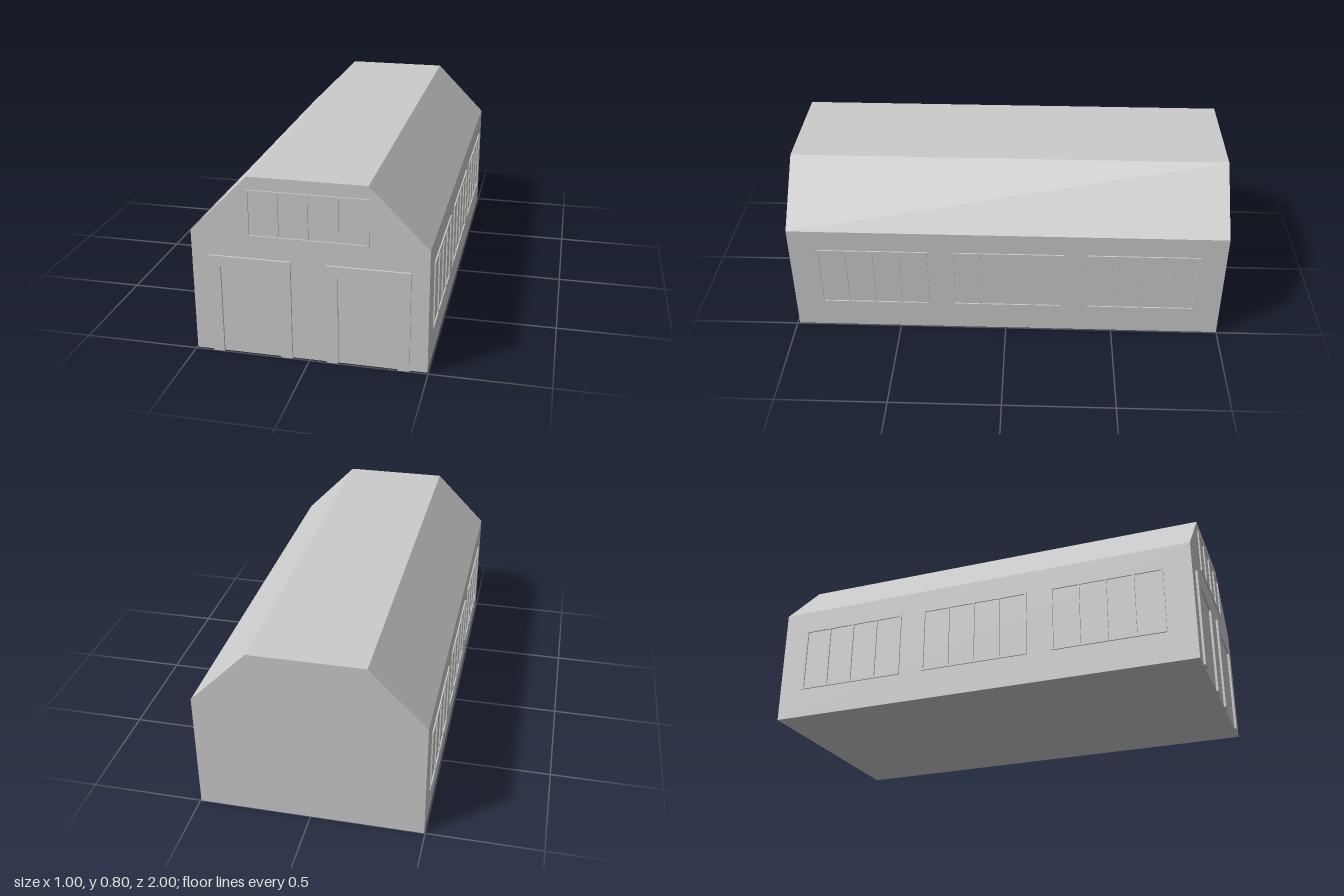
import * as THREE from 'three';

const material = new THREE.MeshStandardMaterial({ color: 0xcccccc, flatShading: true });

// Extrudes a closed outline (with optional holes) along +z from z = 0.
function slab(name, points, depth, holes = []) {
  const toVectors = (list) => list.map(([x, y]) => new THREE.Vector2(x, y));
  const shape = new THREE.Shape(toVectors(points));
  for (const hole of holes) shape.holes.push(new THREE.Path(toVectors(hole)));
  const geometry = new THREE.ExtrudeGeometry(shape, { depth, bevelEnabled: false });
  const mesh = new THREE.Mesh(geometry, material);
  mesh.name = name;
  return mesh;
}

const rect = (x0, y0, x1, y1) => [[x0, y0], [x1, y0], [x1, y1], [x0, y1]];

// Window frame with four upright panes, centred on its own origin.
function windowFrame(name, width, height, depth) {
  const border = 0.01, bar = 0.007, panes = 4;
  const paneWidth = (width - 2 * border - (panes - 1) * bar) / panes;
  const holes = [];
  for (let i = 0; i < panes; i++) {
    const x = -width / 2 + border + i * (paneWidth + bar);
    holes.push(rect(x, -height / 2 + border, x + paneWidth, height / 2 - border));
  }
  return slab(name, rect(-width / 2, -height / 2, width / 2, height / 2), depth, holes);
}

export function createModel() {
  const model = new THREE.Group();
  model.name = 'hall';

  const halfWidth = 0.496, frontZ = 0.99;

  // Solid hall with a flat-topped, chamfered roof
  const body = slab('hallBody', [
    [-halfWidth, 0], [halfWidth, 0], [halfWidth, 0.544], [0.248, 0.796],
    [-0.248, 0.796], [-halfWidth, 0.544],
  ], 1 + frontZ);
  body.position.z = -1;
  model.add(body);

  // Gable window
  const gable = windowFrame('gableWindow', 0.508, 0.206, 0.006);
  gable.position.set(0, 0.638, frontZ);
  model.add(gable);

  for (const side of [-1, 1]) {
    const label = side > 0 ? 'left' : 'right';

    // Surround of each doorway
    const door = slab(label + 'DoorFrame', [
      [-0.174, 0], [-0.125, 0], [-0.125, 0.395], [0.125, 0.395],
      [0.125, 0], [0.174, 0], [0.174, 0.443], [-0.174, 0.443],
    ], 0.01);
    door.position.set(side * 0.248, 0, frontZ);
    model.add(door);

    // Row of windows along each long wall
    [0.612, -0.008, -0.628].forEach((z, i) => {
      const pane = windowFrame(label + 'Window' + (i + 1), 0.508, 0.306, 0.006);
      pane.position.set(side * halfWidth, 0.29, z);
      pane.rotation.y = side * Math.PI / 2;
      model.add(pane);
    });
  }

  return model;
}
